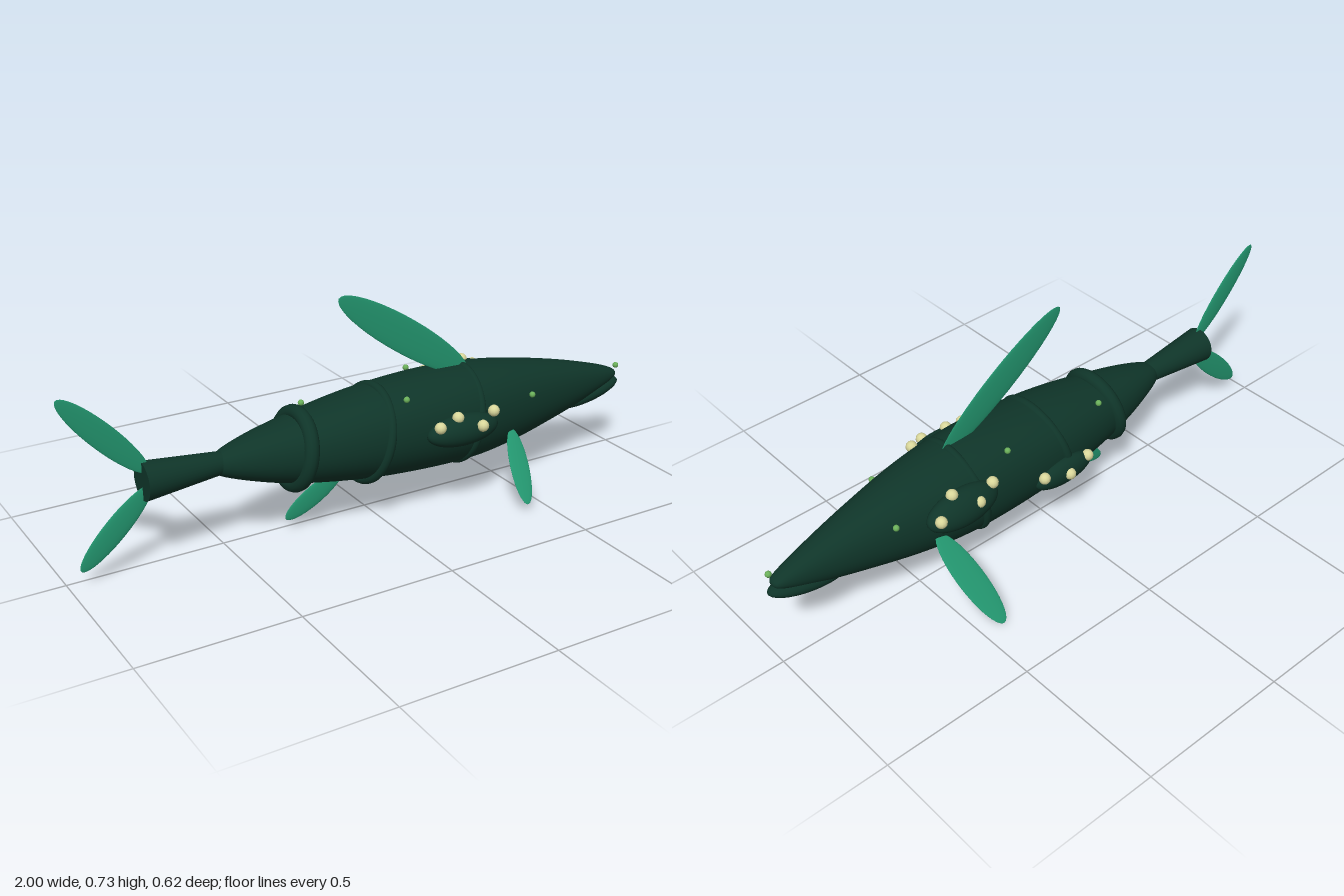
import * as THREE from 'three';

const MID = 0.033; // z of the body's plane of symmetry

const material = (name, color, side = THREE.FrontSide) => {
  const m = new THREE.MeshStandardMaterial({ color, side });
  m.name = name;
  return m;
};

// Smooth skin lofted through [x, top, bottom, half width] sections
function loft(sections, steps, sides) {
  const a = new THREE.CatmullRomCurve3(sections.map(s => new THREE.Vector3(s[0], s[1], s[2])));
  const b = new THREE.CatmullRomCurve3(sections.map(s => new THREE.Vector3(s[0], s[3], 0)));
  const pos = [], index = [];
  for (let i = 0; i <= steps; i++) {
    const p = a.getPoint(i / steps), w = b.getPoint(i / steps).y;
    const cy = (p.y + p.z) / 2, h = (p.y - p.z) / 2;
    for (let j = 0; j < sides; j++) {
      const t = j / sides * Math.PI * 2, c = Math.cos(t), s = Math.sin(t);
      const fuller = s > 0 ? 1 + 0.16 * (s * c) ** 2 : 1; // broad shoulders above
      pos.push(p.x, cy + h * s * fuller, MID + w * c * fuller);
    }
  }
  for (let i = 0; i < steps; i++) for (let j = 0; j < sides; j++) {
    const k = (j + 1) % sides, p = i * sides, q = p + sides;
    index.push(p + j, p + k, q + j, p + k, q + k, q + j);
  }
  // end caps
  for (let j = 1; j < sides - 1; j++) {
    index.push(0, j + 1, j);
    const e = steps * sides;
    index.push(e, e + j, e + j + 1);
  }
  const g = new THREE.BufferGeometry();
  g.setAttribute('position', new THREE.Float32BufferAttribute(pos, 3));
  g.setIndex(index);
  g.computeVertexNormals();
  return g;
}

export function createModel() {
  const model = new THREE.Group();
  const skin = material('dark green skin', 0x0f3529, THREE.DoubleSide);
  const finGreen = material('fin green', 0x23966f);
  const cream = material('cream', 0xd9d79b);
  const leaf = material('leaf green', 0x6bb05a);
  const ball = new THREE.SphereGeometry(1, 32, 20);
  const bead = new THREE.SphereGeometry(1, 12, 8);

  const add = (name, geo, mat, position = [0, 0, 0], scale = [1, 1, 1], rotation = [0, 0, 0]) => {
    const mesh = new THREE.Mesh(geo, mat);
    mesh.name = name;
    mesh.position.set(...position);
    mesh.scale.set(...scale);
    mesh.rotation.set(...rotation);
    model.add(mesh);
    return mesh;
  };

  // Body
  add('body', loft([
    [-0.54, 0.305, 0.262, 0.022], [-0.51, 0.325, 0.245, 0.042], [-0.42, 0.352, 0.212, 0.075],
    [-0.3, 0.376, 0.178, 0.107], [-0.15, 0.403, 0.15, 0.135], [0, 0.422, 0.13, 0.151],
    [0.2, 0.434, 0.116, 0.156], [0.35, 0.431, 0.114, 0.148], [0.5, 0.415, 0.13, 0.128],
    [0.7, 0.376, 0.172, 0.088], [0.85, 0.337, 0.212, 0.055], [0.94, 0.308, 0.245, 0.033],
    [0.975, 0.292, 0.265, 0.02], [0.982, 0.284, 0.274, 0.008]], 72, 48), skin);

  // Lower jaw
  add('lowerJaw', ball, skin, [0.862, 0.226, MID], [0.138, 0.031, 0.046], [0, 0, 0.18]);

  // Flared tail stem
  add('tailStem', new THREE.CylinderGeometry(0.06, 0.034, 0.26, 32), skin,
    [-0.632, 0.289, MID], [1, 1, 1], [0, 0, Math.PI / 2]);

  // Slanted rings round the body: x, centre y, half height, half width, tube, tilt
  for (const [x, y, h, w, tube, tilt] of [
    [-0.27, 0.279, 0.111, 0.11, 0.024, -0.18],
    [-0.015, 0.275, 0.147, 0.145, 0.016, -0.24],
    [0.32, 0.273, 0.154, 0.147, 0.014, -0.16]]) {
    const g = new THREE.TorusGeometry(1, tube / h, 12, 56);
    g.rotateY(Math.PI / 2);
    add('bodyRing', g, skin, [x, y, MID], [h, h, w], [0, 0, tilt]);
  }

  // Thin leaf-shaped fins, from root to tip, lying along the "across" direction
  const fin = (name, root, tip, width, across) => {
    const a = new THREE.Vector3(...root), b = new THREE.Vector3(...tip);
    const along = b.clone().sub(a), length = along.length();
    along.normalize();
    const normal = new THREE.Vector3(...across).cross(along).normalize();
    const side = along.clone().cross(normal);
    const mesh = add(name, ball, finGreen);
    mesh.quaternion.setFromRotationMatrix(new THREE.Matrix4().makeBasis(side, along, normal));
    mesh.position.copy(a).add(b).multiplyScalar(0.5);
    mesh.scale.set(width / 2, length / 2, 0.005);
  };
  fin('dorsalFin', [0.365, 0.405, MID], [-0.108, 0.727, MID], 0.112, [1, 0, 0]);
  fin('upperTailFin', [-0.74, 0.315, MID], [-0.997, 0.589, MID + 0.004], 0.077, [1, 0, 0]);
  fin('lowerTailFin', [-0.735, 0.27, MID], [-0.962, 0.052, MID], 0.077, [1, 0, 0]);
  fin('ventralFin', [-0.1, 0.162, MID], [-0.302, 0.047, MID], 0.07, [1, 0, 0]);
  fin('leftSideFin', [0.46, 0.225, 0.155], [0.42, 0.03, 0.31], 0.07, [1, 0, 0]);
  fin('rightSideFin', [0.485, 0.245, -0.085], [0.42, 0.003, -0.31], 0.092, [1, 0, 0]);

  // Raised patches carrying cream beads
  const patches = [
    { at: [0.24, 0.287, 0.196], size: [0.13, 0.05, 0.046], turn: 0.3, beads: [
      [0.145, 0.318, 0.213], [0.215, 0.335, 0.205], [0.285, 0.306, 0.24], [0.35, 0.33, 0.205]] },
    { at: [0.41, 0.33, -0.117], size: [0.13, 0.058, 0.045], turn: -0.45, beads: [
      [0.3, 0.365, -0.123], [0.37, 0.345, -0.147], [0.44, 0.385, -0.107], [0.51, 0.345, -0.143]] },
    { at: [0.01, 0.247, -0.118], size: [0.115, 0.047, 0.034], turn: 0.1, beads: [
      [-0.08, 0.268, -0.132], [0.01, 0.253, -0.15], [0.1, 0.272, -0.132]] }];
  for (const { at, size, turn, beads } of patches) {
    add('patch', ball, skin, at, size, [-turn, 0, 0]);
    for (const p of beads) add('bead', bead, cream, p, [0.019, 0.019, 0.019]);
  }

  // Small green spots scattered over the skin
  for (const p of [[0.98, 0.307, 0.046], [0.535, 0.33, 0.16], [0.615, 0.335, -0.066],
    [0.064, 0.406, 0.145], [0.205, 0.409, -0.082], [-0.19, 0.377, -0.063]])
    add('spot', bead, leaf, p, [0.01, 0.01, 0.01]);

  return model;
}
